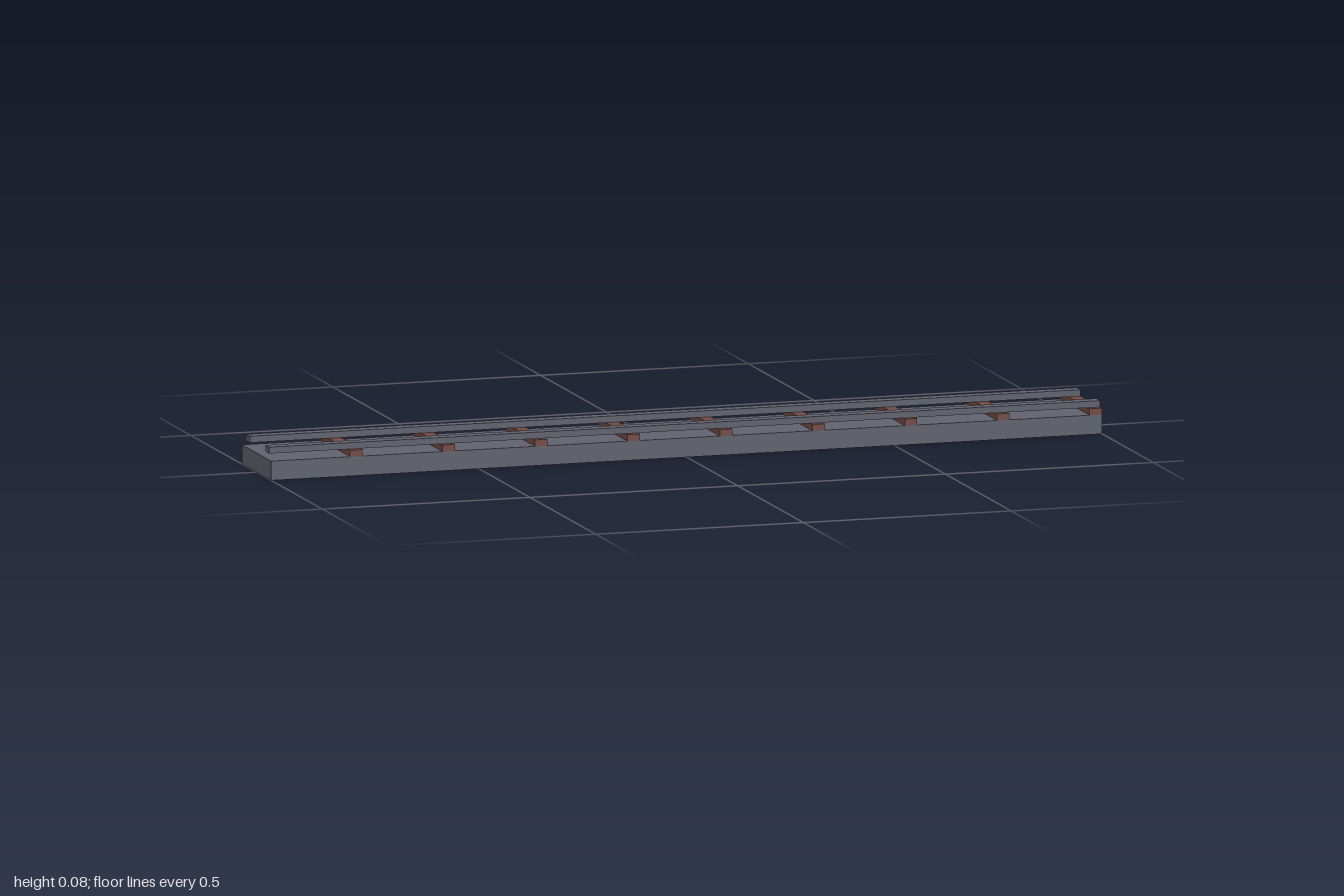
import * as THREE from 'three';

export function createModel() {
  const model = new THREE.Group();
  const slate = new THREE.MeshStandardMaterial({ color: 0x5f616d });
  slate.name = 'slate grey';
  const rust = new THREE.MeshStandardMaterial({ color: 0x734a44 });
  rust.name = 'rust brown';

  // Box given by its centre in x and z, and its bottom in y
  function addBox(name, material, [w, h, d], [x, bottom, z]) {
    const mesh = new THREE.Mesh(new THREE.BoxGeometry(w, h, d), material);
    mesh.name = name;
    mesh.position.set(x, bottom + h / 2, z);
    model.add(mesh);
  }

  const bedHeight = 0.045, sleeperHeight = 0.015, railHeight = 0.015;
  const width = 0.223;

  // Track bed
  addBox('trackBed', slate, [2, bedHeight, width], [0, 0, 0]);

  // Evenly spaced sleepers, the last one flush with the left end
  for (let i = 0; i < 9; i++) {
    addBox('sleeper', rust, [0.03, sleeperHeight, width], [0.985 - i * 0.2225, bedHeight, 0]);
  }

  // Two rails, set slightly towards the front
  for (const z of [0.082, -0.066]) {
    addBox('rail', slate, [2, railHeight, 0.029], [0, bedHeight + sleeperHeight, z]);
  }

  return model;
}
